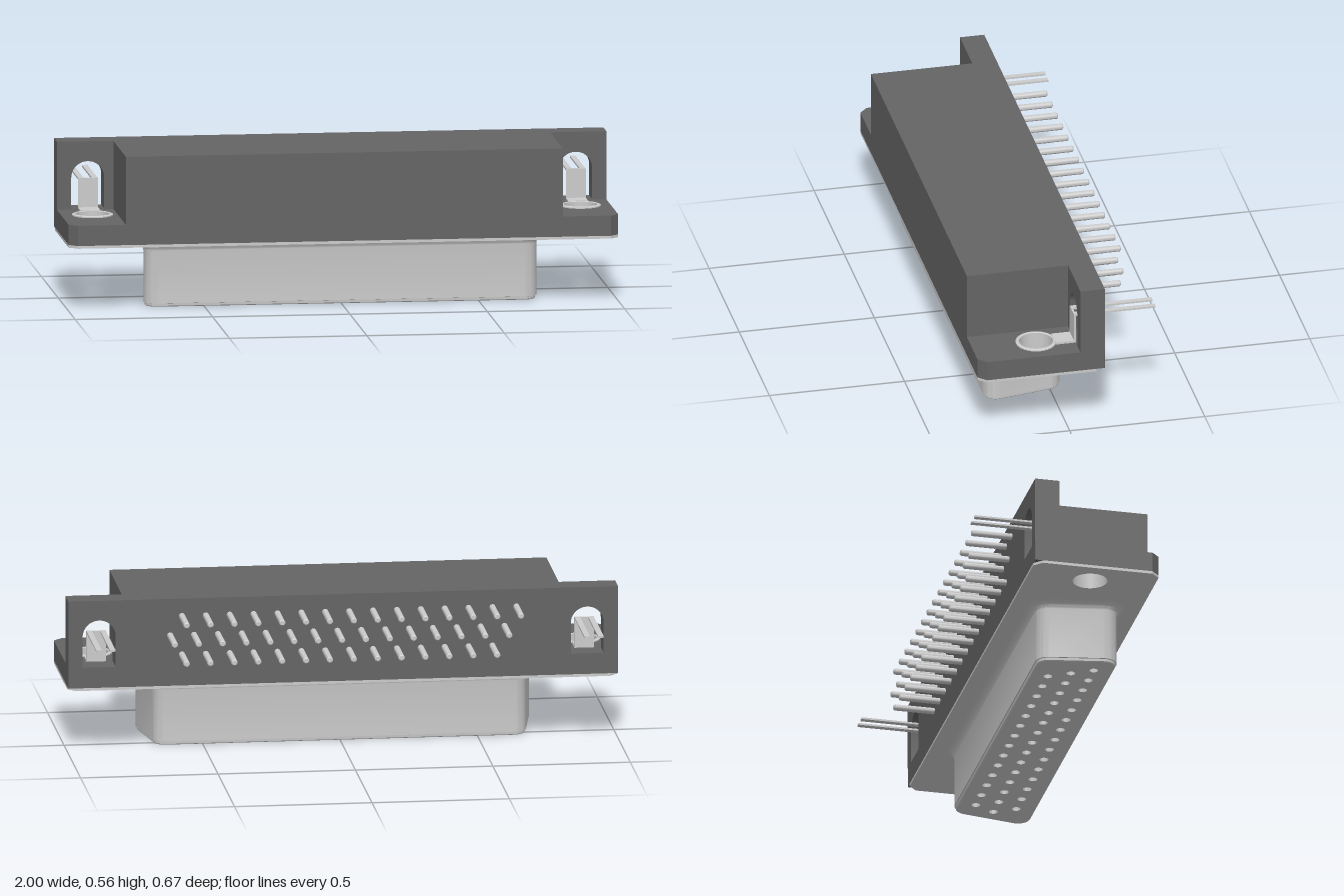
import * as THREE from 'three';
import { toCreasedNormals } from 'three/addons/utils/BufferGeometryUtils.js';

const plastic = new THREE.MeshStandardMaterial({ color: 0x646464 });
const metal = new THREE.MeshStandardMaterial({ color: 0xcccccc });
const metalThin = new THREE.MeshStandardMaterial({ color: 0xcccccc, side: THREE.DoubleSide });

const BACK = -0.13, FRONT = 0.335, EAR = 0.888, SCREW_Z = 0.1;

export function createModel() {
  const model = new THREE.Group();
  const add = (name, geometry, material, parent = model) => {
    const mesh = new THREE.Mesh(geometry, material);
    mesh.name = name;
    parent.add(mesh);
    return mesh;
  };
  const box = (x0, x1, y0, y1, z0, z1) =>
    new THREE.BoxGeometry(x1 - x0, y1 - y0, z1 - z0)
      .translate((x0 + x1) / 2, (y0 + y1) / 2, (z0 + z1) / 2);

  // Flat slab from a plan shape drawn in x and z
  const slab = (shape, y0, y1) => {
    const g = new THREE.ExtrudeGeometry(shape, { depth: y1 - y0, bevelEnabled: false, curveSegments: 24 });
    return toCreasedNormals(g.rotateX(Math.PI / 2).translate(0, y1, 0), 0.6);
  };
  const circle = (x, z, r) => new THREE.Path().absarc(x, z, r, 0, Math.PI * 2, true);

  // Plan of the flange: cut corners and two screw holes
  const flangePlan = (front, back) => {
    const shape = new THREE.Shape([
      [-1, BACK + back], [-1 + back, BACK], [1 - back, BACK], [1, BACK + back],
      [1, FRONT - front], [1 - front, FRONT], [-1 + front, FRONT], [-1, FRONT - front],
    ].map(([x, z]) => new THREE.Vector2(x, z)));
    for (const s of [-1, 1]) shape.holes.push(circle(s * EAR, SCREW_Z, 0.063));
    return shape;
  };
  add('flange', slab(flangePlan(0.03, 0.001), 0.242, 0.316), plastic);
  add('shellPlate', slab(flangePlan(0.03, 0.03), 0.232, 0.242), metal);

  // Housing: central block and rear wall with arched openings
  add('housingBlock', box(-0.795, 0.795, 0.316, 0.565, -0.04, FRONT), plastic);
  const wall = new THREE.Shape([[-1, 0.316], [1, 0.316], [1, 0.565], [-1, 0.565]]
    .map(([x, y]) => new THREE.Vector2(x, y)));
  for (const s of [-1, 1]) {
    const arch = new THREE.Path();
    arch.moveTo(s * EAR - 0.06, 0.318);
    arch.lineTo(s * EAR + 0.06, 0.318);
    arch.absarc(s * EAR, 0.432, 0.06, 0, Math.PI, false);
    arch.closePath();
    wall.holes.push(arch);
  }
  const wallGeo = new THREE.ExtrudeGeometry(wall, { depth: 0.09, bevelEnabled: false, curveSegments: 24 });
  add('rearWall', toCreasedNormals(wallGeo.translate(0, 0, BACK), 0.6), plastic);

  // D-shaped outline: rounded trapezoid, grown or shrunk by an offset
  const outline = (offset) => {
    const tilt = THREE.MathUtils.degToRad(10), q = Math.PI / 2, r = 0.05 + offset;
    const corners = [
      [0.631, 0.007, -q, -tilt], [0.665, 0.2, -tilt, q],
      [-0.665, 0.2, q, 2 * q + tilt], [-0.631, 0.007, 2 * q + tilt, 3 * q],
    ];
    const points = [];
    for (const [x, z, a0, a1] of corners) {
      for (let i = 0; i <= 10; i++) {
        const a = a0 + (a1 - a0) * i / 10;
        points.push(new THREE.Vector2(x + r * Math.cos(a), z + r * Math.sin(a)));
      }
    }
    return points;
  };

  // Shell skirt: loft of outlines with a lip below and a flare above
  const levels = [[0, -0.008], [0.003, -0.005], [0.012, -0.004], [0.013, 0], [0.2, 0]];
  for (let i = 1; i <= 8; i++) {
    const a = i / 8 * Math.PI / 2;
    levels.push([0.2 + 0.032 * Math.sin(a), 0.03 * (1 - Math.cos(a))]);
  }
  const pos = [], index = [];
  const n = outline(0).length;
  levels.forEach(([y, offset], k) => {
    for (const p of outline(offset)) pos.push(p.x, y, p.y);
    if (k === 0) return;
    for (let i = 0; i < n; i++) {
      const a = (k - 1) * n + i, b = (k - 1) * n + (i + 1) % n;
      index.push(a, a + n, b, b, a + n, b + n);
    }
  });
  const skirt = new THREE.BufferGeometry();
  skirt.setAttribute('position', new THREE.Float32BufferAttribute(pos, 3));
  skirt.setIndex(index);
  add('shellSkirt', toCreasedNormals(skirt, 0.6), metalThin);

  // Contact layout: three staggered rows
  const pitch = 0.0869;
  const rows = [
    { count: 15, start: -0.63, y: 0.5, z: SCREW_Z + 0.075 },
    { count: 15, start: -0.587, y: 0.429, z: SCREW_Z },
    { count: 14, start: -0.543, y: 0.357, z: SCREW_Z - 0.075 },
  ];

  // Insert face with socket holes, closed behind
  const face = new THREE.Shape(outline(-0.008));
  const pins = new THREE.Group();
  pins.name = 'pins';
  model.add(pins);
  const pinGeo = new THREE.LatheGeometry(
    [[0, 0.28], [0.008, 0.28], [0.0115, 0.276], [0.0115, 0.12]].map(([x, y]) => new THREE.Vector2(x, y)).reverse(), 14);
  pinGeo.rotateX(-Math.PI / 2);
  const pinShape = toCreasedNormals(pinGeo, 0.6);
  for (const row of rows) {
    for (let i = 0; i < row.count; i++) {
      const x = row.start + i * pitch;
      face.holes.push(circle(x, row.z, 0.016));
      add('pin', pinShape, metalThin, pins).position.set(x, row.y, 0);
    }
  }
  add('socketFace', slab(face, 0, 0.05), metal);
  add('socketBacking', slab(new THREE.Shape(outline(-0.008)), 0.05, 0.06), metal);

  // Screw eyelets and board-lock clips on both ears
  const eyelet = new THREE.LatheGeometry(
    [[0.065, 0.233], [0.065, 0.317], [0.074, 0.317], [0.074, 0.321], [0.066, 0.324], [0.061, 0.322], [0.061, 0.233]]
      .map(([x, y]) => new THREE.Vector2(x, y)), 32);
  const eyeletGeo = toCreasedNormals(eyelet, 0.5);
  for (const s of [-1, 1]) {
    const clip = new THREE.Group();
    clip.name = s > 0 ? 'leftClip' : 'rightClip';
    clip.position.x = s * EAR;
    model.add(clip);
    add('eyelet', eyeletGeo, metalThin, clip).position.z = SCREW_Z;
    add('clipFoot', box(-0.036, 0.036, 0.317, 0.325, -0.04, 0.036), metal, clip);
    add('clipUpright', box(-0.036, 0.036, 0.317, 0.432, -0.04, -0.033), metal, clip);
    for (const side of [-1, 1]) {
      const x = side * 0.025;
      add('clipProng', box(x - 0.01, x + 0.01, 0.425, 0.432, -0.335, -0.036), metal, clip);
    }
  }
  return model;
}
